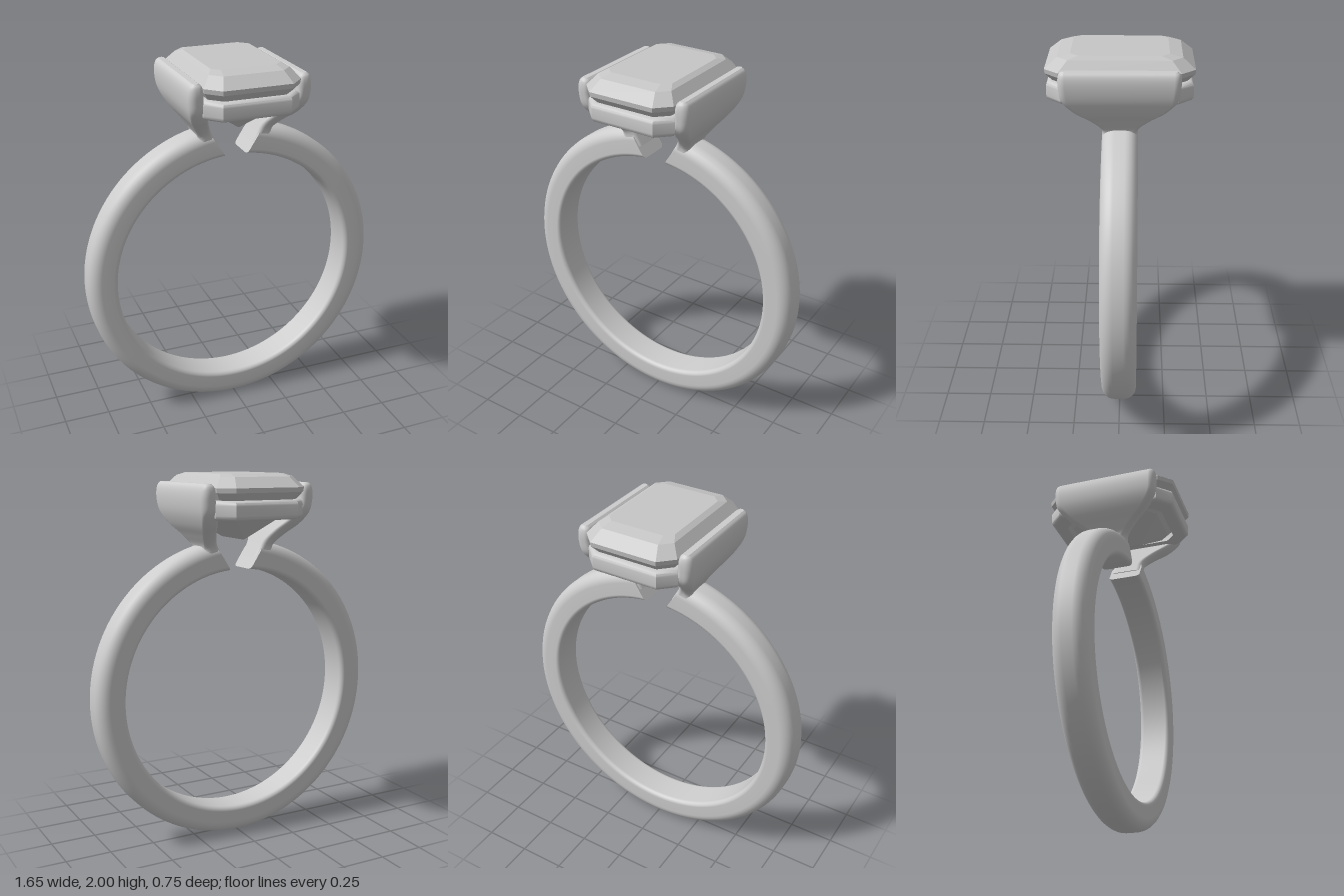
import * as THREE from 'three';
import { toCreasedNormals } from 'three/addons/utils/BufferGeometryUtils.js';

const V = (x, y, z) => new THREE.Vector3(x, y, z);

// Skin a list of equal-length rings (counter-clockwise about the path) and cap both ends
function loft(rings, flat = false) {
  const pos = [], index = [], n = rings[0].length;
  const put = (p) => pos.push(p.x, p.y, p.z) / 3 - 1;
  rings.forEach((ring) => ring.forEach(put));
  for (let i = 0; i < rings.length - 1; i++) {
    for (let j = 0; j < n; j++) {
      const a = i * n + j, b = i * n + (j + 1) % n;
      index.push(a, b, b + n, a, b + n, a + n);
    }
  }
  [rings[0], rings[rings.length - 1]].forEach((ring, end) => {
    const first = ring.map(put)[0];
    const centre = put(ring.reduce((s, p) => s.add(p), V(0, 0, 0)).divideScalar(n));
    for (let j = 0; j < n; j++) {
      const a = first + j, b = first + (j + 1) % n;
      index.push(centre, end ? a : b, end ? b : a);
    }
  });
  let geo = new THREE.BufferGeometry();
  geo.setAttribute('position', new THREE.Float32BufferAttribute(pos, 3));
  geo.setIndex(index);
  if (flat) geo = geo.toNonIndexed();
  geo.computeVertexNormals();
  return geo;
}

// Rounded rectangle from point a to point b, w to each side in z
function section(a, b, w, ra, rb, steps = 6) {
  const u = b.clone().sub(a), h = u.length() / 2, ring = [];
  u.normalize();
  const mid = a.clone().add(b).multiplyScalar(0.5);
  [[1, 1], [-1, 1], [-1, -1], [1, -1]].forEach(([su, sz], k) => {
    const r = Math.min(su > 0 ? rb : ra, h * 0.96, w * 0.96);
    for (let i = 0; i <= steps; i++) {
      const t = (k + i / steps) * Math.PI / 2;
      const p = mid.clone().addScaledVector(u, su * (h - r) + r * Math.cos(t));
      p.z = sz * (w - r) + r * Math.sin(t);
      ring.push(p);
    }
  });
  return ring;
}

// Rectangle with cut corners at height y
function octagon(y, x, z, c) {
  return [[x, z - c], [x, c - z], [x - c, -z], [c - x, -z],
    [-x, c - z], [-x, z - c], [c - x, z], [x - c, z]].map(([px, pz]) => V(px, y, pz));
}

// Open band whose ends are cut on a slant
function bandGeometry() {
  const rings = [], N = 140, start = 0.137, cy = 0.825;
  const at = (r, t) => V(r * Math.sin(t), cy + r * Math.cos(t), 0);
  for (let i = 0; i <= N; i++) {
    const t = start + (i / N) * (2 * Math.PI - 2 * start);
    const near = Math.min(t, 2 * Math.PI - t) - start;
    const shear = 0.048 * Math.max(0, 1 - near / 0.4) * (t < Math.PI ? 1 : -1);
    rings.push(section(at(0.67, t - shear), at(0.825, t + shear), 0.092, 0.025, 0.065));
  }
  return loft(rings);
}

// Claw plate flaring up from the band to hold the long side of the stone
function clawGeometry() {
  // inner x, inner y, outer x, outer y, half width
  const rows = [
    [0.09, 1.55, 0.215, 1.565, 0.088], [0.135, 1.63, 0.208, 1.615, 0.095],
    [0.17, 1.695, 0.243, 1.675, 0.155], [0.205, 1.755, 0.285, 1.735, 0.235],
    [0.238, 1.815, 0.314, 1.80, 0.288], [0.248, 1.87, 0.325, 1.865, 0.298],
    [0.25, 1.915, 0.323, 1.915, 0.299], [0.256, 1.94, 0.314, 1.94, 0.293],
    [0.27, 1.953, 0.30, 1.953, 0.28],
  ];
  const inner = new THREE.CatmullRomCurve3(rows.map((r) => V(r[0], r[1], r[4])));
  const outer = new THREE.CatmullRomCurve3(rows.map((r) => V(r[2], r[3], 0)));
  const rings = [];
  for (let i = 0; i <= 40; i++) {
    const a = inner.getPoint(i / 40), b = outer.getPoint(i / 40), w = a.z;
    a.z = b.z = 0;
    rings.push(section(b, a, w, 0.036, 0.025));
  }
  return loft(rings);
}

// Cut-corner rail around the stone
function railGeometry() {
  const flatten = (x, z, c) => octagon(0, x, z, c).map((p) => new THREE.Vector2(p.x, p.z));
  const bevel = 0.026, shape = new THREE.Shape(flatten(0.229, 0.34, 0.06));
  shape.holes.push(new THREE.Path(flatten(0.18, 0.285, 0.05)));
  const geo = new THREE.ExtrudeGeometry(shape, {
    depth: 0.1 - 2 * bevel, bevelEnabled: true, bevelSize: bevel, bevelThickness: bevel, bevelSegments: 5,
  });
  geo.rotateX(-Math.PI / 2).translate(0, 1.77 + bevel, 0);
  return toCreasedNormals(geo, 0.6);
}

// Step-cut stone with a keel below
function stoneGeometry() {
  return loft([
    octagon(1.656, 0.004, 0.12, 0.002), octagon(1.77, 0.165, 0.255, 0.05),
    octagon(1.87, 0.225, 0.335, 0.062), octagon(1.908, 0.25, 0.37, 0.07),
    octagon(1.932, 0.255, 0.373, 0.072), octagon(1.985, 0.212, 0.31, 0.055),
    octagon(2.0, 0.185, 0.245, 0.04),
  ], true);
}

export function createModel() {
  const metal = new THREE.MeshStandardMaterial({ color: 0xcccccc });
  metal.name = 'metal';
  const gem = new THREE.MeshStandardMaterial({ color: 0xc6c6c6 });
  gem.name = 'stone';
  const group = new THREE.Group();
  group.name = 'ring';
  const add = (name, geo, mat) => {
    const mesh = new THREE.Mesh(geo, mat);
    mesh.name = name;
    group.add(mesh);
    return mesh;
  };
  add('band', bandGeometry(), metal);
  const claw = clawGeometry();
  add('leftClaw', claw, metal);
  add('rightClaw', claw, metal).rotation.y = Math.PI;
  add('stoneRail', railGeometry(), metal);
  add('stone', stoneGeometry(), gem);
  return group;
}
